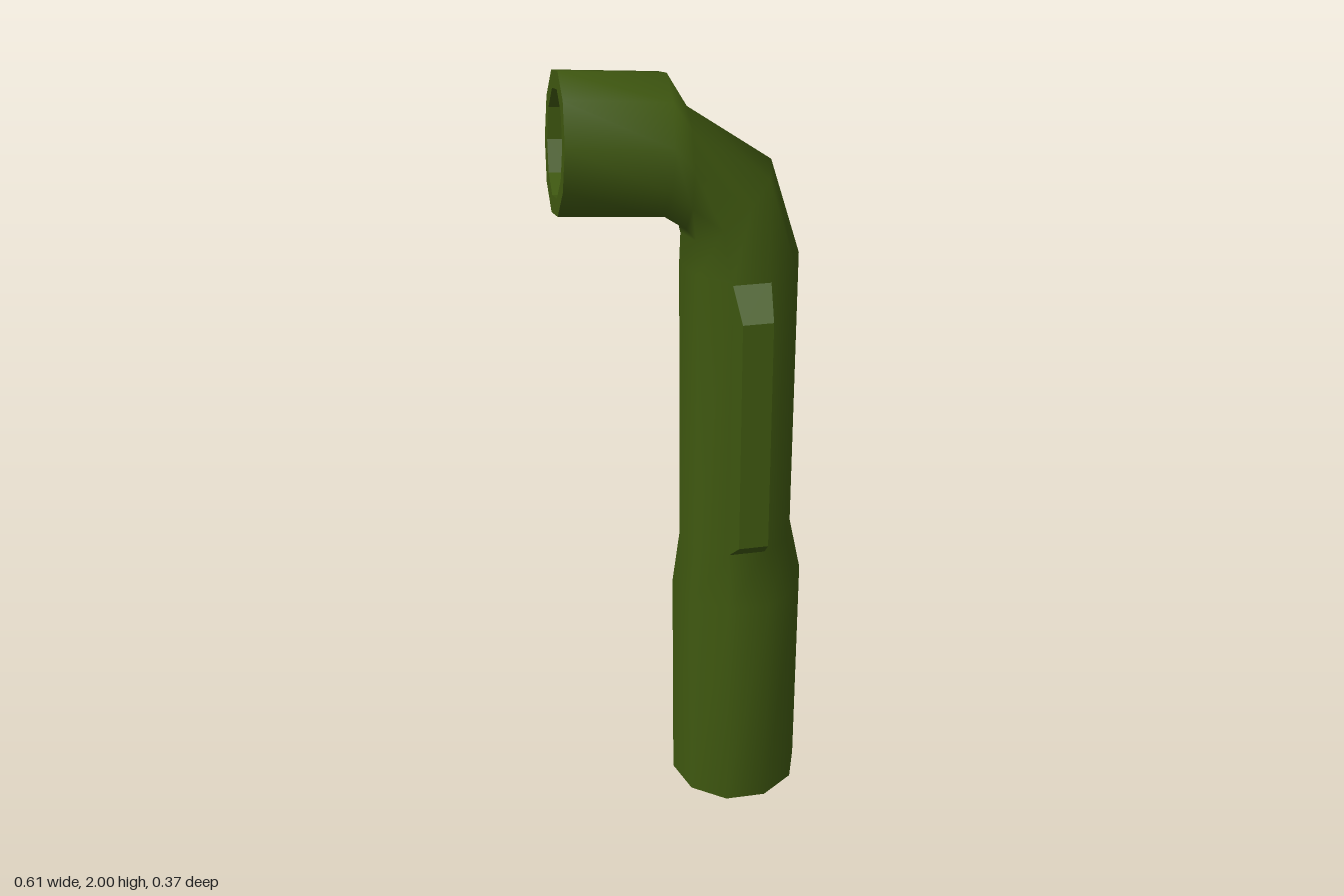
import * as THREE from 'three';

const SIDES = 10;
const Z0 = -0.0255; // tube axis depth

// A ring is [outerX, outerY, innerX, innerY, radius in z]
function loft(rings, flat) {
  const pos = [], index = [];
  for (const [ox, oy, ix, iy, r] of rings) {
    for (let j = 0; j < SIDES; j++) {
      const a = (j / SIDES) * Math.PI * 2, c = Math.cos(a) / 2;
      pos.push((ox + ix) / 2 + (ox - ix) * c, (oy + iy) / 2 + (oy - iy) * c, Z0 + r * Math.sin(a));
    }
  }
  for (let i = 0; i < rings.length - 1; i++) {
    for (let j = 0; j < SIDES; j++) {
      const k = (j + 1) % SIDES, p = i * SIDES, q = p + SIDES;
      index.push(p + j, q + j, p + k, p + k, q + j, q + k);
    }
  }
  let g = new THREE.BufferGeometry();
  g.setAttribute('position', new THREE.Float32BufferAttribute(pos, 3));
  g.setIndex(index);
  if (flat) g = g.toNonIndexed();
  g.computeVertexNormals();
  return g;
}

// Scale a ring about its centre and shift it
function inset([ox, oy, ix, iy, r], k, dx, dy) {
  const cx = (ox + ix) / 2, cy = (oy + iy) / 2;
  return [cx + (ox - cx) * k + dx, cy + (oy - cy) * k + dy,
    cx + (ix - cx) * k + dx, cy + (iy - cy) * k + dy, r * k];
}

export function createModel() {
  const group = new THREE.Group();
  const green = new THREE.MeshStandardMaterial({ color: 0x3f5810 });
  green.name = 'olive green';
  const grey = new THREE.MeshStandardMaterial({ color: 0xd8d8d8 });
  grey.name = 'pale grey';

  const add = (name, geometry, material) => {
    const mesh = new THREE.Mesh(geometry, material);
    mesh.name = name;
    group.add(mesh);
  };

  // Tube: wide base, slim grip, bent neck and wide head
  const rings = [
    [0.302, 0, -0.032, 0, 0.167],
    [0.302, 0.62, -0.032, 0.62, 0.167],
    [0.272, 0.77, -0.013, 0.77, 0.143],
    [0.272, 1.52, -0.013, 1.52, 0.143],
    [0.2, 1.76, -0.01, 1.595, 0.143],
    [0.005, 1.9, -0.014, 1.613, 0.143],
    [-0.04, 1.98, -0.066, 1.65, 0.167],
    [-0.28, 2.0, -0.305, 1.67, 0.167],
  ];
  add('body', loft(rings), green);

  // Recessed openings: flat rim, faceted wall and a pale disc at the back
  const ends = [
    { name: 'base', ring: rings[0], dx: 0, dy: 0.06 },
    { name: 'head', ring: rings[rings.length - 1], dx: 0.06, dy: -0.0045 },
  ];
  for (const { name, ring, dx, dy } of ends) {
    const lip = inset(ring, 0.75, 0, 0);
    const floor = inset(ring, 0.75, dx, dy);
    const centre = inset(ring, 0.001, dx, dy);
    const order = (list) => (name === 'base' ? list.reverse() : list);
    add(name + 'Rim', loft(order([ring, lip]), true), green);
    add(name + 'RecessWall', loft(order([lip, floor]), true), green);
    add(name + 'Lens', loft(order([floor, centre]), true), grey);
  }

  // Switch bar with sloping sides on the front of the grip
  const bar = new THREE.BoxGeometry(2, 2, 2).toNonIndexed();
  const p = bar.attributes.position;
  for (let i = 0; i < p.count; i++) {
    const front = p.getZ(i) > 0;
    p.setXYZ(i,
      0.131 + p.getX(i) * (front ? 0.036 : 0.046),
      1.145 + p.getY(i) * (front ? 0.305 : 0.38),
      front ? 0.183 : 0.1);
  }
  bar.computeVertexNormals();
  add('switchBar', bar, green);

  return group;
}
